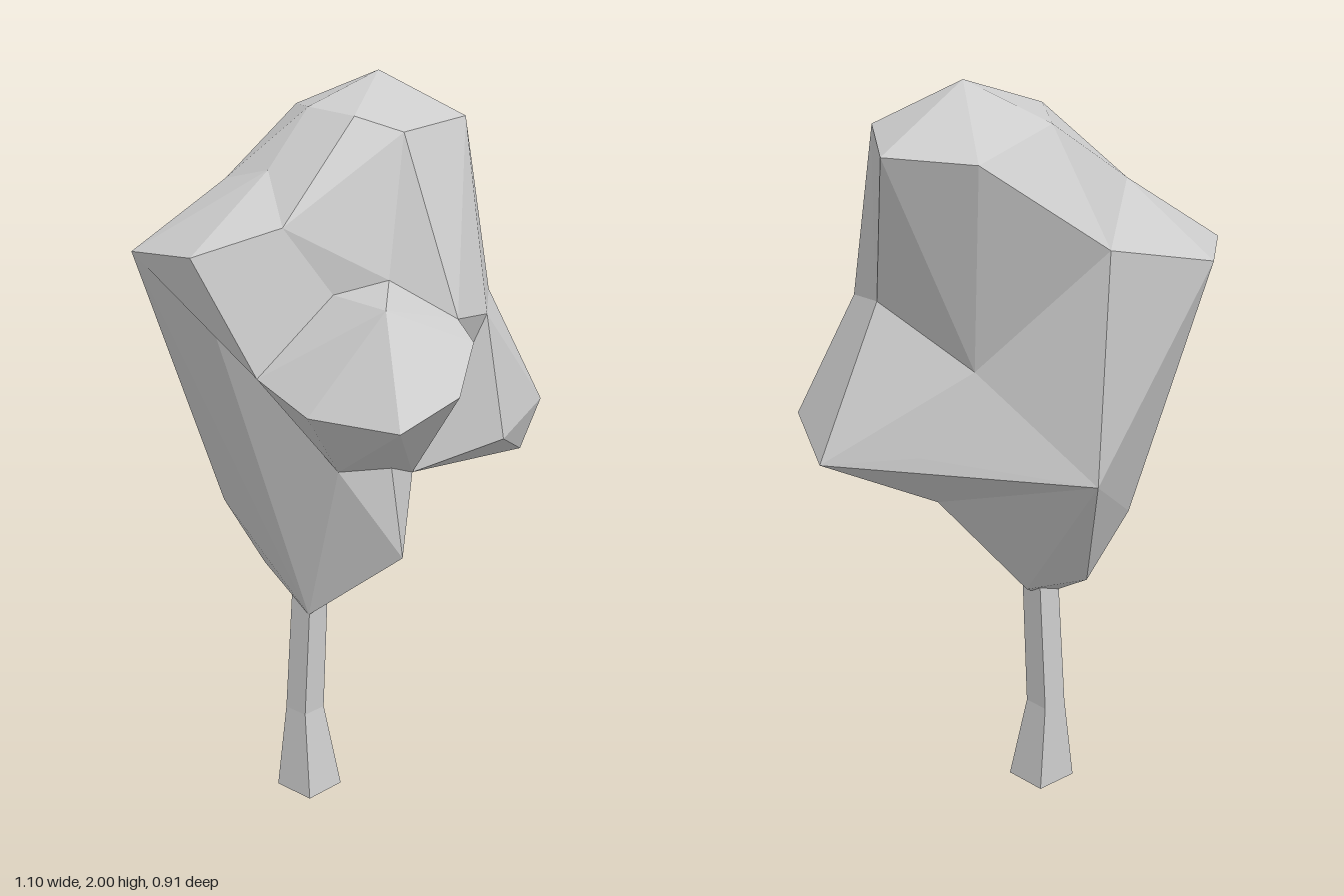
import * as THREE from 'three';
import { ConvexGeometry } from 'three/addons/geometries/ConvexGeometry.js';

const material = new THREE.MeshStandardMaterial({ color: 0xcccccc, flatShading: true });

// Faceted foliage mass: the hull of a few corner points [x, y, z].
function foliage(name, corners) {
  const points = corners.map((c) => new THREE.Vector3(...c));
  const mesh = new THREE.Mesh(new ConvexGeometry(points), material);
  mesh.name = name;
  return mesh;
}

// Four-sided trunk, flared at the foot and leaning slightly.
function trunk() {
  const rows = [
    { y: 0, r: 0.09, x: -0.107, z: -0.037 },
    { y: 0.24, r: 0.053, x: -0.115, z: -0.05 },
    { y: 0.64, r: 0.049, x: -0.097, z: -0.046 },
  ];
  const geometry = new THREE.CylinderGeometry(1, 1, 2, 4, 2, false, -0.25);
  const p = geometry.attributes.position;
  for (let i = 0; i < p.count; i++) {
    const row = rows[Math.round(p.getY(i)) + 1];
    p.setXYZ(i, row.x + row.r * p.getX(i), row.y, row.z + row.r * p.getZ(i));
  }
  geometry.computeVertexNormals();
  const mesh = new THREE.Mesh(geometry, material);
  mesh.name = 'trunk';
  return mesh;
}

export function createModel() {
  const tree = new THREE.Group();
  tree.name = 'tree';

  // Corners shared by neighbouring masses
  const browEdge = [0.12, 1.875, 0.085];
  const topSide = [0.345, 1.885, -0.085];
  const waistFront = [0.34, 1.4, 0.125];
  const waistSide = [0.39, 1.435, 0];
  const waistBack = [0.35, 1.45, -0.14];
  const backNotch = [0.13, 1.295, -0.29];
  const backLow = [-0.16, 1.01, -0.41];
  const backHigh = [-0.175, 1.62, -0.43];
  const leftBack = [-0.47, 1.555, -0.32];
  const leftTip = [-0.55, 1.57, -0.11];
  const leftFront = [-0.435, 1.585, 0.08];
  const dents = [[-0.29, 1.74, -0.15], [-0.21, 1.78, -0.01], [-0.205, 1.655, 0.115]];
  const underSide = [0.2, 0.895, -0.13];
  const underFront = [0.145, 0.975, 0.11];
  const lobeTop = [0.06, 1.515, 0.16];
  const lobeTopLeft = [-0.08, 1.48, 0.135];
  const lobeCorner = [-0.29, 1.285, 0.17];
  const lobeShoulder = [0.215, 1.425, 0.25];
  const chinA = [-0.08, 1.02, 0.18];
  const chinB = [0.065, 1.035, 0.17];
  const apex = [-0.115, 0.545, 0];
  const apexBack = [-0.05, 0.605, -0.09];

  tree.add(
    trunk(),
    // Top of the crown
    foliage('crownTop', [
      [0.135, 2, -0.185], [-0.06, 1.905, -0.3], [-0.085, 1.925, -0.08], [0, 1.915, 0.05],
      browEdge, topSide, [0.36, 1.845, -0.335], [0.15, 1.84, -0.457], backHigh, ...dents,
      waistBack, waistFront, backNotch, lobeTop, lobeTopLeft,
    ]),
    // Lower bulge of the crown towards -x, meeting the top in a shallow crease
    foliage('crownSide', [
      ...dents, backHigh, leftBack, leftTip, leftFront, lobeCorner, lobeTopLeft,
    ]),
    // Underside of the crown, tapering down to the trunk
    foliage('crownBase', [
      backHigh, leftBack, leftTip, leftFront, backNotch, backLow, lobeTopLeft, chinA,
      [-0.31, 0.845, -0.17], [-0.2, 0.65, -0.16], [-0.115, 0.855, 0.08],
      underSide, underFront, apex, apexBack,
    ]),
    // Sloping mass between the crown and both lobes
    foliage('shoulder', [
      browEdge, topSide, waistBack, waistSide, waistFront, lobeShoulder, lobeTop, underFront,
    ]),
    // Bulge on the front
    foliage('frontLobe', [
      [0, 1.48, 0.327], lobeTop, lobeTopLeft, lobeCorner, [-0.2, 1.22, 0.325], [0, 1.2, 0.453],
      [0.165, 1.27, 0.415], [0.235, 1.38, 0.315], lobeShoulder, chinA, chinB, underFront,
    ]),
    // Bulge on the +x side, running back under the crown
    foliage('sideLobe', [
      waistFront, waistSide, waistBack, backNotch, [0.545, 1.12, 0.015], [0.515, 1.05, -0.212],
      [0.495, 0.975, 0], [0.38, 1.065, 0.167], [0.27, 1.075, -0.28], backLow, underSide, underFront,
    ]),
    // Wedge under the front lobe, running down to the trunk
    foliage('lowerWedge', [chinA, chinB, underFront, underSide, [0.105, 0.75, 0.157], apex, apexBack]),
  );
  return tree;
}
